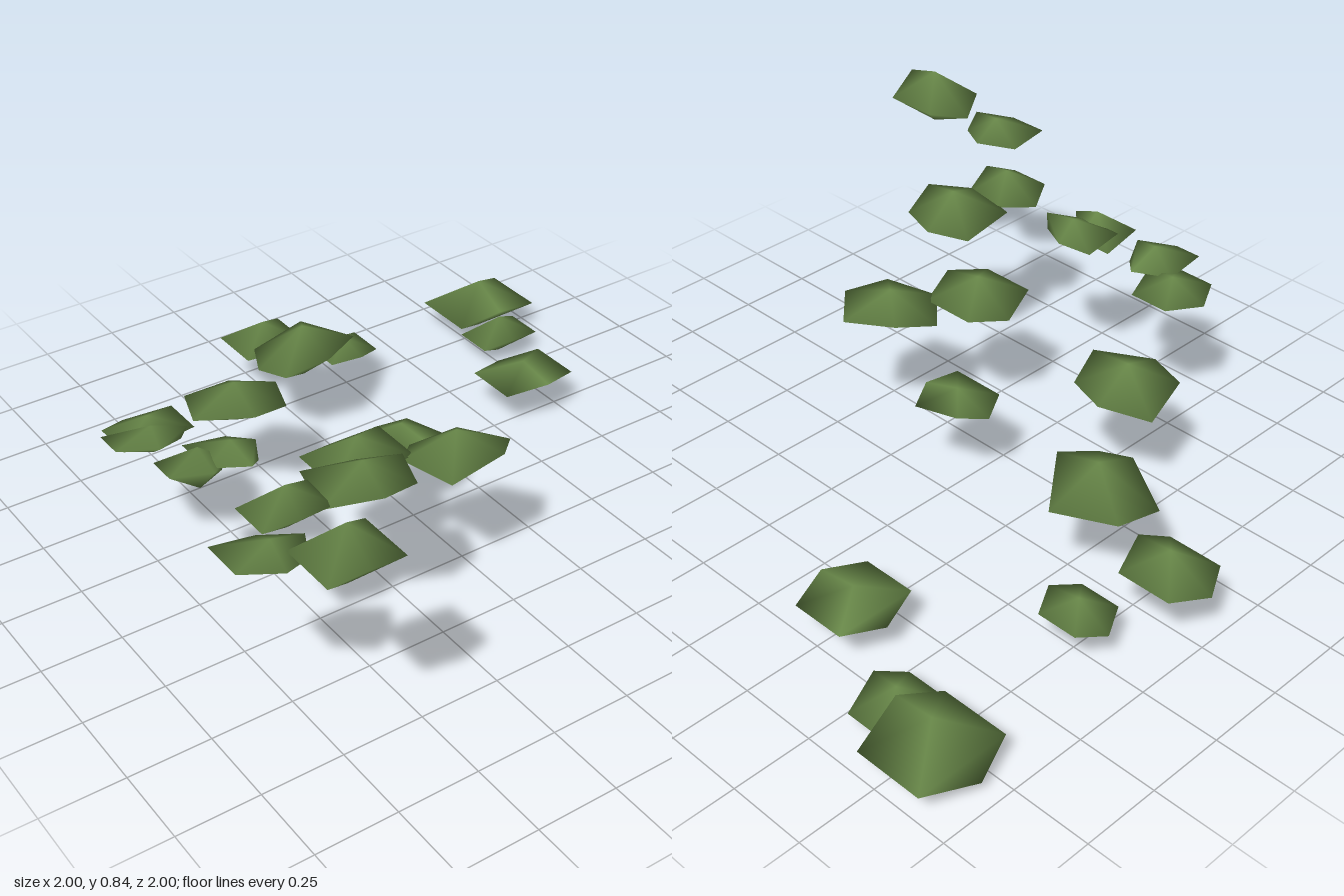
import * as THREE from 'three';
import { ConvexGeometry } from 'three/addons/geometries/ConvexGeometry.js';
import { mergeVertices } from 'three/addons/utils/BufferGeometryUtils.js';

// All corners sit on a coarse grid
const STEP = 2 / 45;

// Plan outlines in a unit box: [x, z] pairs, the first is the low left tip
const OUTLINES = {
  flat: [[-1, 0], [-0.65, -1], [0.65, -1], [1, 0], [0.65, 1], [-0.65, 1]],
  round: [[-1, 0.5], [-1, -0.5], [0.15, -1], [1, -0.1], [0.75, 0.75], [0, 1]],
  lean: [[-1, 0.3], [-0.7, -0.45], [0.45, -1], [1, -0.35], [1, 0.8], [-0.45, 1]],
  skew: [[-1, -0.4], [-0.25, -1], [0.7, -0.7], [1, 0.2], [0.2, 1], [-0.85, 0.8]],
};

// Outline, then grid bounds: x min, x max, z min, z max, y min, y max
const CLUMPS = [
  ['flat', 1, 8, 0, 7, 0, 4],
  ['flat', 6, 11, 2, 7, 0, 3],
  ['flat', 13, 19, 5, 11, 2, 4],
  ['flat', 3, 8, 15, 19, 2, 4],
  ['flat', 0, 6, 20, 25, 3, 6],
  ['round', 6, 13, 19, 27, 5, 9],
  ['skew', 11, 18, 28, 35, 7, 10],
  ['lean', 20, 25, 21, 26, 6, 8],
  ['lean', 27, 33, 21, 28, 9, 12],
  ['flat', 24, 30, 27, 33, 9, 12],
  ['skew', 30, 36, 30, 37, 12, 15],
  ['flat', 30, 35, 36, 41, 12, 15],
  ['skew', 35, 40, 40, 45, 14, 16],
  ['flat', 39, 45, 38, 43, 15, 19],
  ['skew', 23, 28, 36, 40, 12, 14],
  ['skew', 23, 27, 38, 42, 11, 14],
  ['flat', 15, 20, 37, 42, 10, 12],
  ['skew', 18, 22, 38, 43, 11, 13],
];

// A flattened pebble shape: two poles and a six-cornered rim, low at left and high at right
function clumpGeometry(outline, x0, x1, z0, z1, y0, y1) {
  const cx = (x0 + x1) / 2, cy = (y0 + y1) / 2, cz = (z0 + z1) / 2;
  const hx = (x1 - x0) / 2, hy = (y1 - y0) / 2, hz = (z1 - z0) / 2;
  const at = (x, y, z) => new THREE.Vector3(x * STEP - 1, y * STEP, z * STEP - 1);
  const points = [at(cx, y1, cz), at(cx, y0, cz)];
  OUTLINES[outline].forEach(([x, z], i) => {
    const tilt = i === 0 ? -0.5 : i === 3 ? 0.5 : 0;
    points.push(at(Math.round(cx + x * hx), cy + tilt * hy, Math.round(cz + z * hz)));
  });
  // Weld the hull so its shading is smooth
  const hull = new ConvexGeometry(points);
  hull.deleteAttribute('normal');
  const geometry = mergeVertices(hull, 1e-4);
  geometry.computeVertexNormals();
  return geometry;
}

export function createModel() {
  const group = new THREE.Group();
  group.name = 'leafClumps';
  const leafGreen = new THREE.MeshStandardMaterial({ color: 0x6a8a4a });
  leafGreen.name = 'leafGreen';
  CLUMPS.forEach(([outline, ...bounds], i) => {
    const mesh = new THREE.Mesh(clumpGeometry(outline, ...bounds), leafGreen);
    mesh.name = `leafClump${i + 1}`;
    group.add(mesh);
  });
  return group;
}
